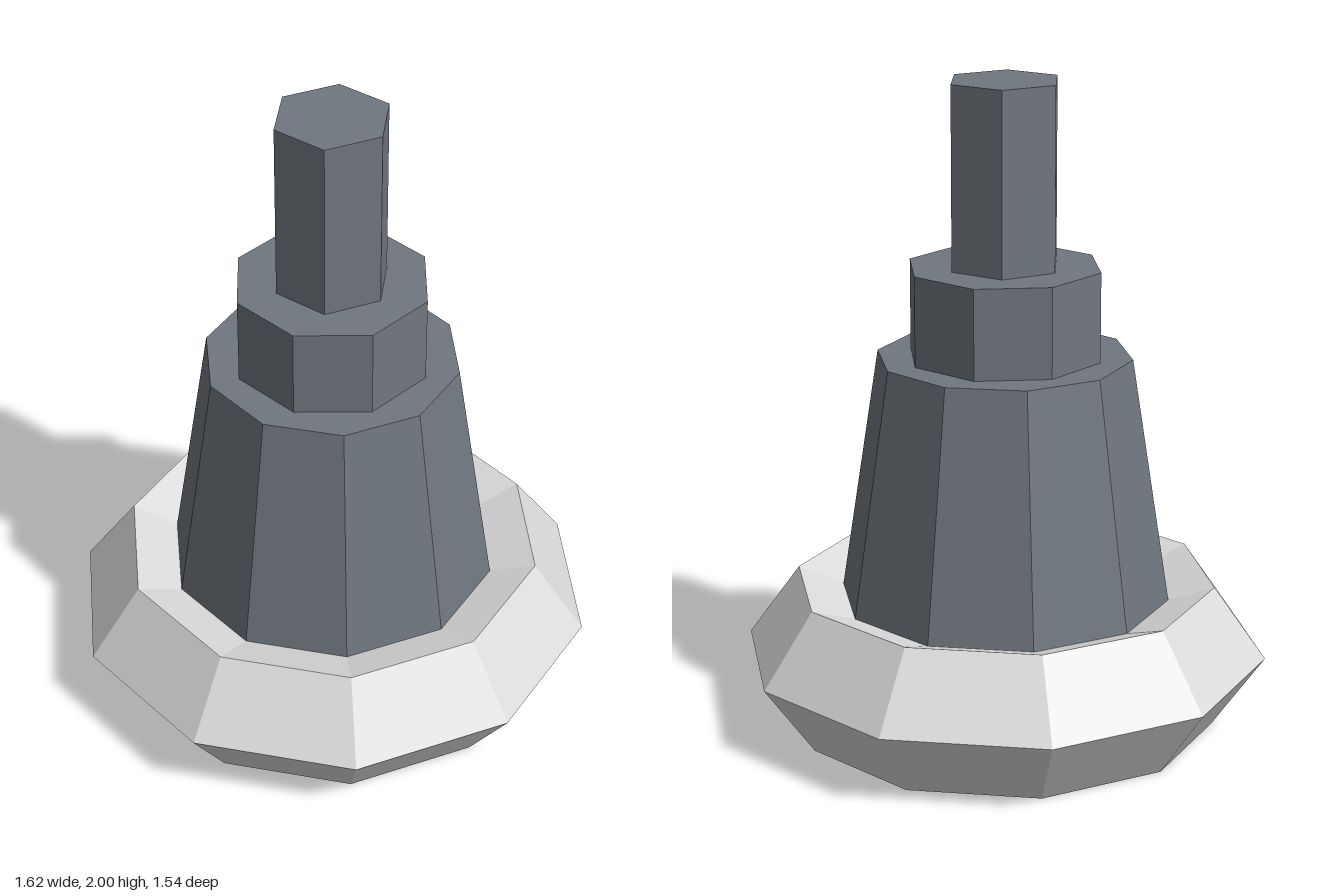
import * as THREE from 'three';

export function createModel() {
  const model = new THREE.Group();
  const slate = new THREE.MeshStandardMaterial({ color: 0x70777f });
  slate.name = 'slate grey';
  const pale = new THREE.MeshStandardMaterial({ color: 0xdcdcdc });
  pale.name = 'pale grey';

  // Faceted part: separate the faces so every facet gets its own normal
  function addPart(name, geometry, material) {
    const faceted = geometry.toNonIndexed();
    faceted.computeVertexNormals();
    const mesh = new THREE.Mesh(faceted, material);
    mesh.name = name;
    model.add(mesh);
  }

  // Prism or tapered prism between two heights, with a corner on the x axis
  function addPrism(name, rTop, rBottom, y0, y1, sides) {
    const g = new THREE.CylinderGeometry(rTop, rBottom, y1 - y0, sides, 1, false, Math.PI / 2);
    g.translate(0, (y0 + y1) / 2, 0);
    addPart(name, g, slate);
  }

  // Ten-sided base ring with a shallow dish above and below
  const profile = [
    [0, 0.085], [0.4, 0.085], [0.65, 0], [0.81, 0.225],
    [0.65, 0.45], [0.4, 0.365], [0, 0.365],
  ].map(([r, y]) => new THREE.Vector2(r, y));
  addPart('baseRing', new THREE.LatheGeometry(profile, 10, Math.PI / 2), pale);

  // Tapered body, collar and stem stacked on the base
  addPrism('body', 0.39, 0.512, 0.38, 1.163, 10);
  addPrism('collar', 0.3, 0.3, 1.163, 1.44, 8);
  addPrism('stem', 0.177, 0.177, 1.44, 2, 6);

  return model;
}
